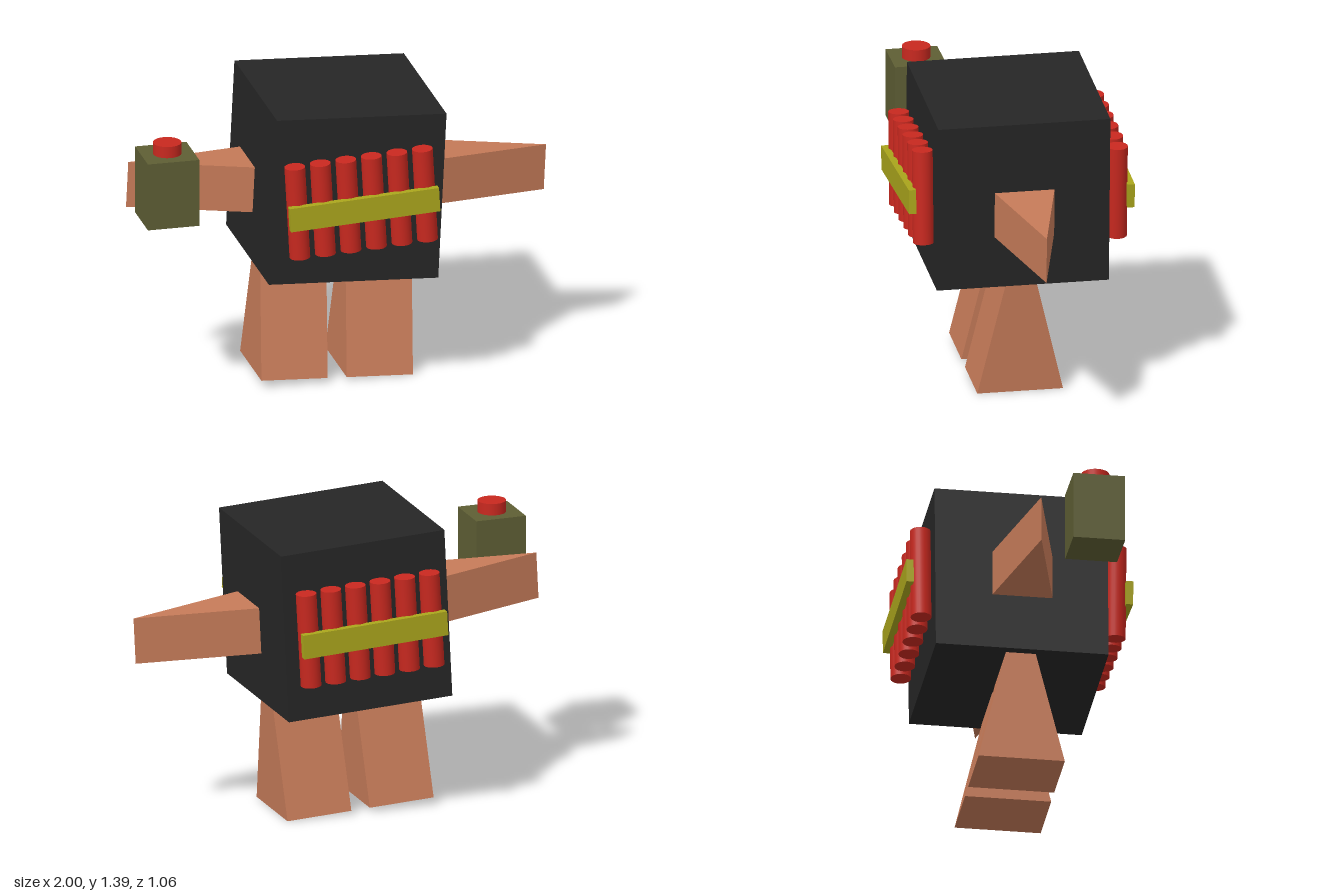
import * as THREE from 'three';

const paint = (color) => new THREE.MeshStandardMaterial({ color, flatShading: false });
const SKIN = paint(0xc57a58), BLACK = paint(0x262626), RED = paint(0xc8281f);
const YELLOW = paint(0xaaa51c), OLIVE = paint(0x5e5e34);

function add(parent, name, geometry, material, x, y, z) {
  const mesh = new THREE.Mesh(geometry, material);
  mesh.name = name;
  mesh.position.set(x, y, z);
  parent.add(mesh);
  return mesh;
}

// Wedge: rectangular base on y = 0 tapering in z to an edge along x at the top
function wedge(width, height, depth) {
  const profile = new THREE.Shape([
    new THREE.Vector2(-depth / 2, 0),
    new THREE.Vector2(depth / 2, 0),
    new THREE.Vector2(0, height),
  ]);
  const geometry = new THREE.ExtrudeGeometry(profile, { depth: width, bevelEnabled: false });
  return geometry.translate(0, 0, -width / 2).rotateY(Math.PI / 2);
}

// Row of six sticks held by a strap, on the front of its own group
function stickBundle(name) {
  const bundle = new THREE.Group();
  bundle.name = name;
  const stick = new THREE.CylinderGeometry(0.048, 0.048, 0.447, 24);
  for (let i = 0; i < 6; i++) {
    add(bundle, 'stick' + (i + 1), stick, RED, (i - 2.5) * 0.1215, 0, 0.455);
  }
  add(bundle, 'strap', new THREE.BoxGeometry(0.71, 0.115, 0.034), YELLOW, 0, -0.01, 0.512);
  return bundle;
}

export function createModel() {
  const model = new THREE.Group();
  model.name = 'blockFigure';

  // Body with limbs, leaning slightly to one side
  const figure = new THREE.Group();
  figure.name = 'figure';
  figure.position.set(0, 0.975, -0.005);
  figure.rotation.z = -0.049;
  model.add(figure);
  add(figure, 'body', new THREE.BoxGeometry(0.806, 0.806, 0.806), BLACK, 0, 0, 0);

  const leg = wedge(0.315, 0.84, 0.402);
  const arm = wedge(0.22, 0.567, 0.28);
  for (const [side, s] of [['left', 1], ['right', -1]]) {
    add(figure, side + 'Leg', leg, SKIN, s * 0.203, -0.951, 0);
    add(figure, side + 'Arm', arm, SKIN, s * 0.427, -0.032, 0).rotation.z = -s * Math.PI / 2;
  }

  // Stick bundles on the chest and back, leaning the other way
  for (const [name, turn] of [['frontBundle', 0], ['backBundle', Math.PI]]) {
    const holder = new THREE.Group();
    holder.name = name + 'Holder';
    holder.position.set(0.003, 0.977, -0.005);
    holder.rotation.y = turn;
    const bundle = stickBundle(name);
    bundle.rotation.z = 0.055;
    holder.add(bundle);
    model.add(holder);
  }

  // Hand-held push-button box
  const trigger = new THREE.Group();
  trigger.name = 'triggerBox';
  trigger.position.set(-0.872, 0, 0.265);
  model.add(trigger);
  add(trigger, 'case', new THREE.BoxGeometry(0.244, 0.325, 0.242), OLIVE, 0, 1.072, 0);
  add(trigger, 'button', new THREE.CylinderGeometry(0.066, 0.066, 0.075, 24), RED, 0, 1.252, 0);

  return model;
}
